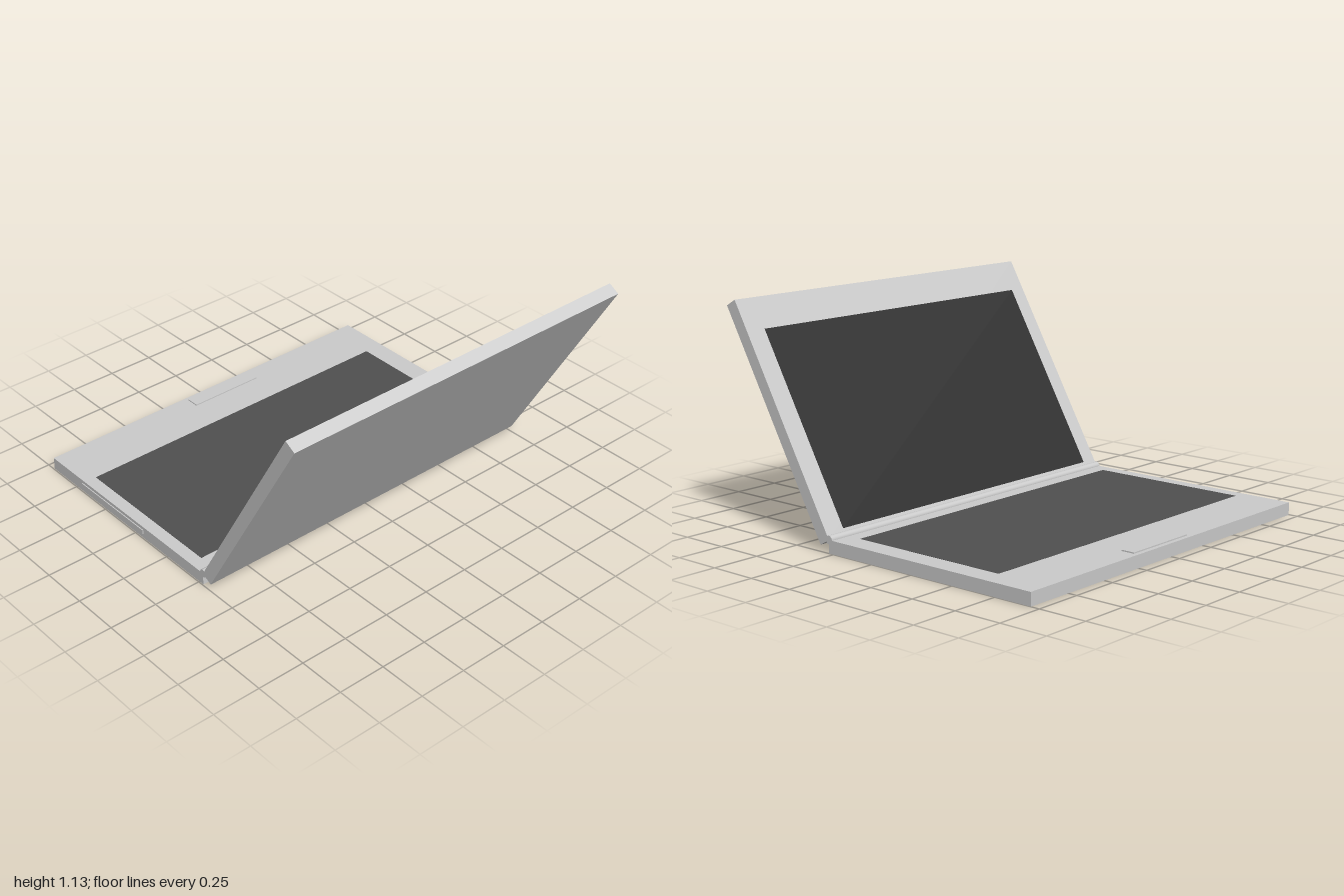
import * as THREE from 'three';

const grey = new THREE.MeshStandardMaterial({ color: 0xcccccc, flatShading: true });
const keyMat = new THREE.MeshStandardMaterial({ color: 0x505050 });
const screenMat = new THREE.MeshStandardMaterial({ color: 0x303030 });

// Box given by its [min, max] extent on each axis
function box(name, [x0, x1], [y0, y1], [z0, z1], material = grey) {
  const mesh = new THREE.Mesh(new THREE.BoxGeometry(x1 - x0, y1 - y0, z1 - z0), material);
  mesh.position.set((x0 + x1) / 2, (y0 + y1) / 2, (z0 + z1) / 2);
  mesh.name = name;
  return mesh;
}

export function createModel() {
  const laptop = new THREE.Group();
  laptop.name = 'laptop';
  const width = [-0.995, 1];
  const thick = 0.065;
  const hingeZ = 0.279;

  // Base with keyboard area, front latch and side drive
  const base = new THREE.Group();
  base.name = 'base';
  base.add(
    box('baseBody', width, [0, thick], [-0.953, hingeZ]),
    box('keyboardPanel', [-0.93, 0.89], [thick - 0.004, thick + 0.001], [-0.675, 0.183], keyMat),
    box('latch', [-0.155, 0.255], [thick - 0.01, 0.071], [-0.93, -0.86]),
    box('sideDrive', [-1, -0.98], [0.025, 0.048], [-0.7, -0.19])
  );

  // Hinge rod across the full width
  const hinge = new THREE.Mesh(
    new THREE.CylinderGeometry(0.021, 0.021, width[1] - width[0], 20),
    new THREE.MeshStandardMaterial({ color: 0xcccccc })
  );
  hinge.name = 'hinge';
  hinge.rotation.z = Math.PI / 2;
  hinge.position.set((width[0] + width[1]) / 2, thick, hingeZ);

  // Lid pivots about the hinge and leans back 30 degrees
  const lid = new THREE.Group();
  lid.name = 'lid';
  lid.position.set(0, thick, hingeZ);
  lid.rotation.x = Math.PI / 6;
  lid.add(
    box('lidBody', width, [0, 1.232], [0, thick]),
    box('screen', [-0.905, 0.89], [0.036, 1.066], [-0.001, 0.004], screenMat)
  );

  laptop.add(base, hinge, lid);
  return laptop;
}
